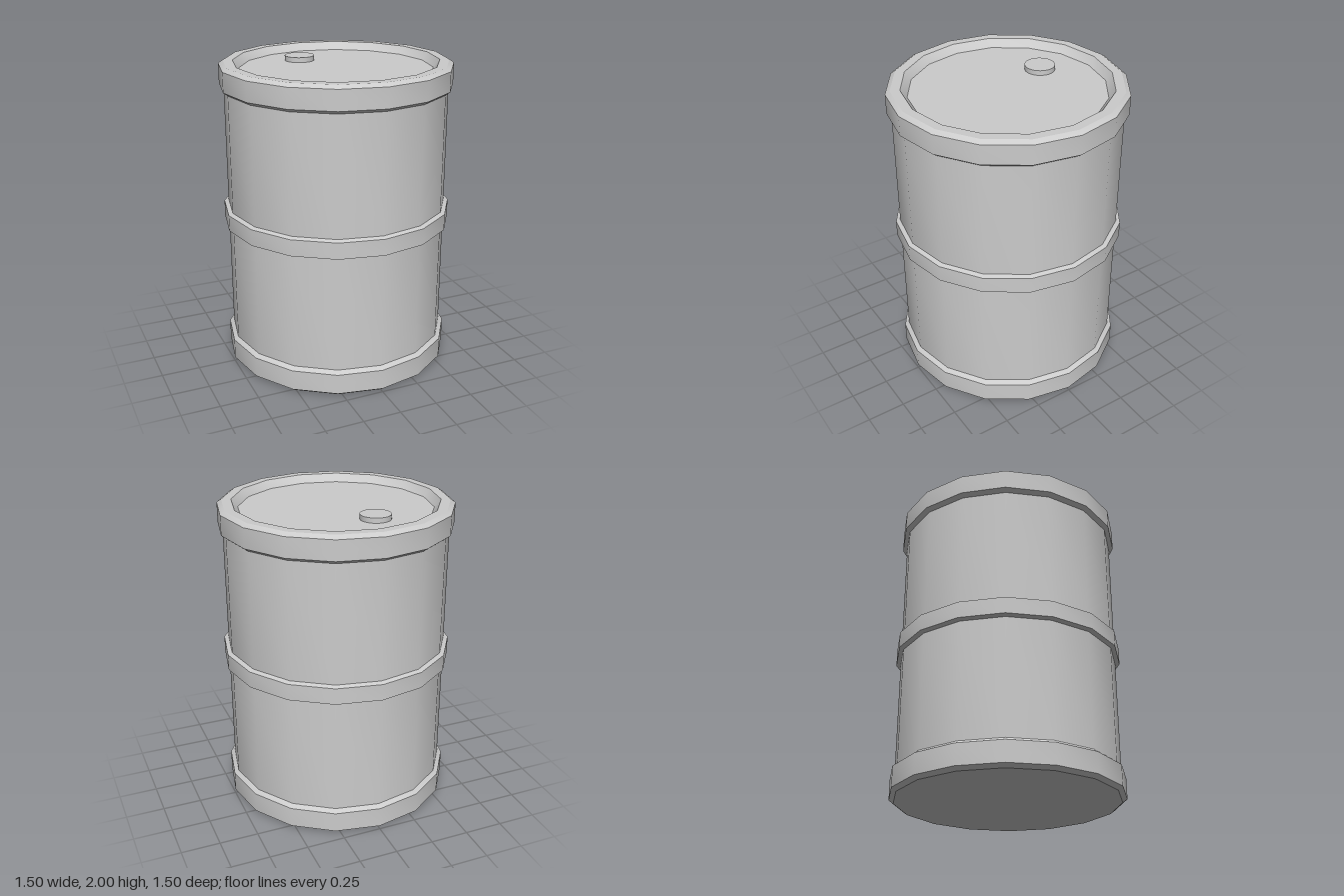
import * as THREE from 'three';
import { toCreasedNormals } from 'three/addons/utils/BufferGeometryUtils.js';

const SIDES = 16;
const WALL = 0.72, HOOP = 0.748; // radii of the barrel wall and its hoops

export function createModel() {
  const model = new THREE.Group();
  const material = new THREE.MeshStandardMaterial({ color: 0xcccccc });

  // Sixteen-sided turned part, smooth around and sharp along its profile
  const turned = (name, profile) => {
    const points = profile.map(([r, y]) => new THREE.Vector2(r, y));
    const geometry = toCreasedNormals(new THREE.LatheGeometry(points, SIDES), 0.5);
    const mesh = new THREE.Mesh(geometry, material);
    mesh.name = name;
    model.add(mesh);
  };

  // Base with its bevelled hoop
  turned('bottomHoop', [[0, 0], [0.718, 0], [HOOP, 0.022], [HOOP, 0.156], [WALL, 0.177]]);

  // Wall, in two halves between the hoops
  turned('lowerWall', [[WALL, 0.177], [WALL, 0.938]]);
  turned('middleHoop', [[WALL, 0.938], [HOOP, 0.949], [HOOP, 1.056], [WALL, 1.067]]);
  turned('upperWall', [[WALL, 1.067], [WALL, 1.832]]);

  // Top hoop, flat rim and the slope down to the sunken lid
  turned('topHoop', [[WALL, 1.832], [HOOP, 1.853], [HOOP, 1.98], [0.718, 2], [0.657, 2], [0.617, 1.95]]);
  turned('lid', [[0.617, 1.95], [0, 1.95]]);

  // Filler cap on the lid
  const cap = new THREE.Mesh(new THREE.CylinderGeometry(0.097, 0.097, 0.04, 32), material);
  cap.name = 'fillerCap';
  cap.position.set(-0.125, 1.962, -0.323);
  model.add(cap);

  return model;
}
